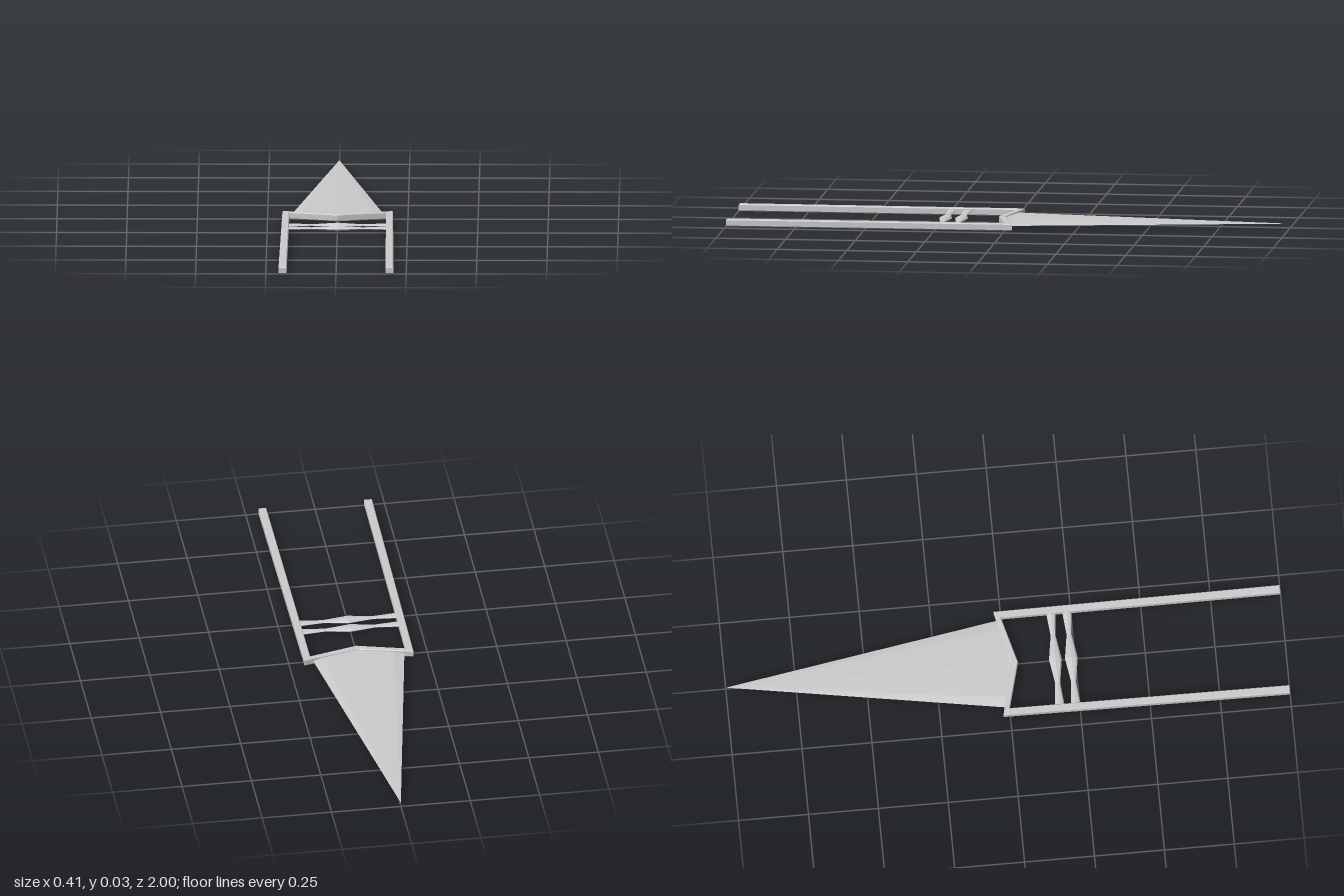
import * as THREE from 'three';

const HEIGHT = 0.025, MID = HEIGHT / 2;

// Two long arms joined by a V-shaped guard, cut as one chamfered plate
function frameGeometry() {
  const half = [[0, 0.045], [0.172, 0], [0.176, 1], [0.205, 1], [0.197, -0.025], [0, 0.02]];
  const mirrored = half.slice(1, -1).reverse().map(([x, z]) => [-x, z]);
  const shape = new THREE.Shape([...half, ...mirrored].map(([x, z]) => new THREE.Vector2(x, z)));
  const b = 0.003;
  const geo = new THREE.ExtrudeGeometry(shape, {
    depth: HEIGHT - 2 * b, bevelEnabled: true, bevelSegments: 1,
    bevelSize: b, bevelThickness: b, bevelOffset: -b,
  });
  geo.rotateX(Math.PI / 2);
  geo.translate(0, HEIGHT - b, 0);
  return geo;
}

// Blade: a flat ridged section with ground edges, running to a point
function bladeGeometry() {
  const section = [
    [0.165, 0.0135], [0.13, 0.019], [0, 0.021], [-0.13, 0.019],
    [-0.165, 0.0135], [-0.13, 0.008], [0, 0.006], [0.13, 0.008],
  ];
  const ring = section.map(([x, y]) => [x, y, 0.03 - 0.27 * Math.abs(x)]);
  const tip = [0, 0.015, -1], root = [0, 0.0135, 0.03];
  const pos = [];
  ring.forEach((p, i) => {
    const q = ring[(i + 1) % ring.length];
    pos.push(...q, ...tip, ...p);
    pos.push(...p, ...root, ...q);
  });
  const geo = new THREE.BufferGeometry();
  geo.setAttribute('position', new THREE.Float32BufferAttribute(pos, 3));
  geo.computeVertexNormals();
  return geo;
}

// Hand grip: a flattened, faceted bar swelling at the centre and both ends
function gripGeometry() {
  const profile = [[0.017, -0.178], [0.009, -0.09], [0.023, 0], [0.009, 0.09], [0.017, 0.178]];
  const geo = new THREE.LatheGeometry(profile.map(([r, y]) => new THREE.Vector2(r, y)), 8);
  geo.rotateZ(Math.PI / 2);
  geo.scale(1, 0.38, 1);
  return geo;
}

export function createModel() {
  const group = new THREE.Group();
  const material = new THREE.MeshStandardMaterial({
    color: 0xcccccc, flatShading: true, side: THREE.DoubleSide,
  });
  const add = (name, geometry, y = 0, z = 0) => {
    const mesh = new THREE.Mesh(geometry, material);
    mesh.name = name;
    mesh.position.set(0, y, z);
    group.add(mesh);
  };

  add('armsAndGuard', frameGeometry());
  add('blade', bladeGeometry());
  const grip = gripGeometry();
  add('rearGrip', grip, MID + 0.001, 0.179);
  add('frontGrip', grip, MID + 0.001, 0.236);
  return group;
}
